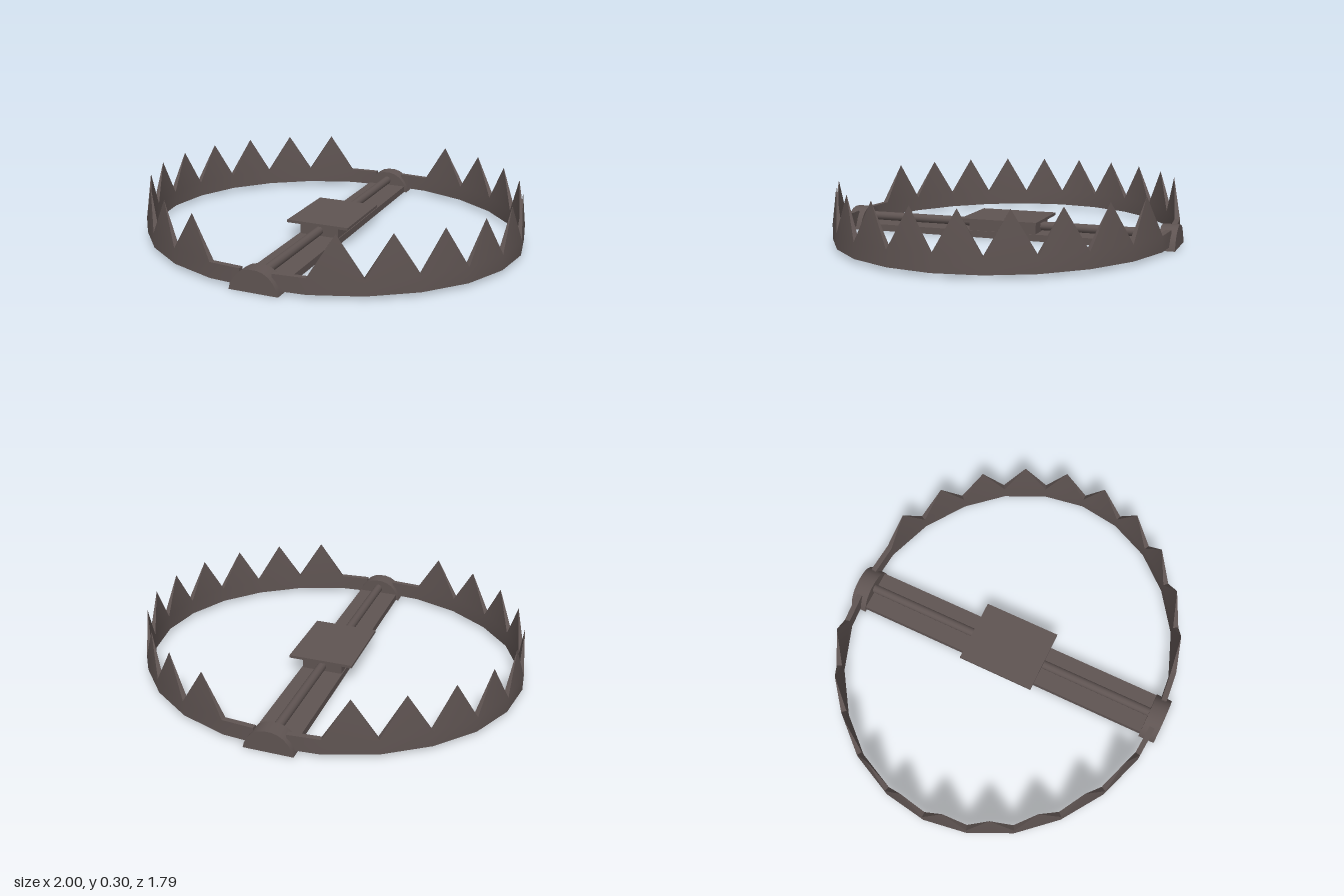
import * as THREE from 'three';
import { toCreasedNormals } from 'three/addons/utils/BufferGeometryUtils.js';

const steel = new THREE.MeshStandardMaterial({ color: 0x5f5452 });

function addMesh(parent, name, geometry, x = 0, y = 0, z = 0) {
  const mesh = new THREE.Mesh(geometry, steel);
  mesh.name = name;
  mesh.position.set(x, y, z);
  parent.add(mesh);
  return mesh;
}

// Half-ring band with a pointed tooth on every segment except the two end arms
function jawGeometry() {
  const quarter = [[0.08, 0.855], [0.24, 0.842], [0.48, 0.757], [0.69, 0.614], [0.85, 0.435], [0.95, 0.223]];
  const path = [...quarter, [0.985, 0], ...quarter.map(([x, z]) => [x, -z]).reverse()];
  const half = 0.014, low = 0.018, high = 0.097, tip = 0.3;
  const last = path.length - 1;

  // Four corners of the band at each point of the path
  const sections = path.map(([x, z], i) => {
    const a = path[Math.max(i - 1, 0)], b = path[Math.min(i + 1, last)];
    const n = new THREE.Vector2(a[1] - b[1], b[0] - a[0]).normalize().multiplyScalar(half);
    const corner = (side, y) => new THREE.Vector3(x + side * n.x, y, z + side * n.y);
    return { ol: corner(1, low), oh: corner(1, high), il: corner(-1, low), ih: corner(-1, high) };
  });

  const points = [];
  const tri = (...p) => points.push(...p);
  const quad = (a, b, c, d) => { tri(a, b, c); tri(a, c, d); };
  for (let i = 0; i < last; i++) {
    const a = sections[i], b = sections[i + 1];
    quad(a.ol, b.ol, b.oh, a.oh);
    quad(b.il, a.il, a.ih, b.ih);
    quad(a.il, b.il, b.ol, a.ol);
    if (i === 0 || i === last - 1) {
      quad(a.oh, b.oh, b.ih, a.ih);
    } else {
      const peak = new THREE.Vector3().add(a.oh).add(a.ih).add(b.oh).add(b.ih).multiplyScalar(0.25);
      peak.y = tip;
      tri(a.oh, b.oh, peak);
      tri(b.oh, b.ih, peak);
      tri(b.ih, a.ih, peak);
      tri(a.ih, a.oh, peak);
    }
  }
  // End caps
  const s = sections[0], e = sections[last];
  quad(s.il, s.ol, s.oh, s.ih);
  quad(e.ol, e.il, e.ih, e.oh);
  return toCreasedNormals(new THREE.BufferGeometry().setFromPoints(points), 0.4);
}

// Half-round hinge block that holds the jaw ends
function hingeGeometry(depth) {
  const side = [[0.125, 0], [0.117, 0.03], [0.1, 0.06], [0.078, 0.085], [0.05, 0.102], [0.02, 0.11]];
  const outline = [...side, ...side.map(([x, y]) => [-x, y]).reverse()];
  const shape = new THREE.Shape(outline.map(([x, y]) => new THREE.Vector2(x, y)));
  const geometry = new THREE.ExtrudeGeometry(shape, { depth, bevelEnabled: false });
  geometry.translate(0, 0, -depth / 2);
  return toCreasedNormals(geometry, 0.6);
}

export function createModel() {
  const model = new THREE.Group();
  model.name = 'jawTrap';

  // Base bar with the spring rod lying along it
  addMesh(model, 'baseBar', new THREE.BoxGeometry(0.22, 0.035, 1.66), 0, 0.0175, 0);
  const rod = new THREE.CylinderGeometry(0.023, 0.023, 1.66, 12).rotateX(Math.PI / 2);
  addMesh(model, 'rod', rod, 0, 0.062, 0);

  // Trigger pan on its support block
  addMesh(model, 'panSupport', new THREE.BoxGeometry(0.21, 0.065, 0.36), 0, 0.065, 0);
  addMesh(model, 'triggerPan', new THREE.BoxGeometry(0.336, 0.014, 0.41), 0, 0.1, 0);

  // Hinges at both ends of the bar
  const hinge = hingeGeometry(0.085);
  addMesh(model, 'frontHinge', hinge, 0, 0, 0.8525);
  addMesh(model, 'backHinge', hinge, 0, 0, -0.8525);

  // Two mirrored toothed jaws
  const jaw = jawGeometry();
  addMesh(model, 'leftJaw', jaw);
  addMesh(model, 'rightJaw', jaw).rotation.y = Math.PI;

  return model;
}
